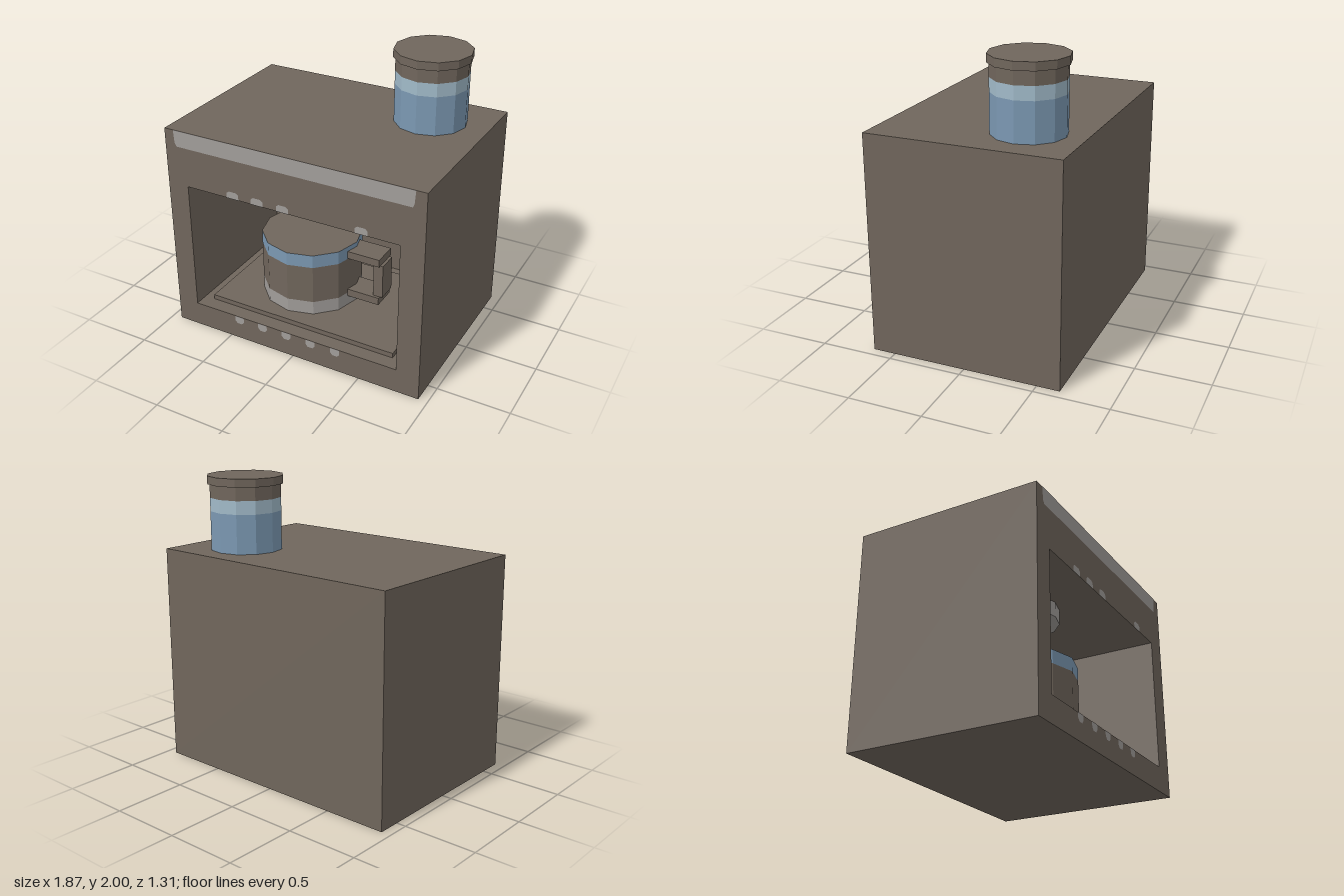
import * as THREE from 'three';
import { mergeGeometries } from 'three/addons/utils/BufferGeometryUtils.js';

function mat(name, color) {
  const m = new THREE.MeshStandardMaterial({ color, flatShading: true });
  m.name = name;
  return m;
}

export function createModel() {
  const brown = mat('brown', 0x70665c);
  const grey = mat('grey', 0xa19d9a);
  const blue = mat('blue', 0x7b98b2);
  const paleBlue = mat('pale blue', 0xa1bac9);

  const model = new THREE.Group();
  model.name = 'coffeeMachine';
  const add = (parent, name, geometry, material, x = 0, y = 0, z = 0) => {
    const mesh = new THREE.Mesh(geometry, material);
    mesh.name = name;
    mesh.position.set(x, y, z);
    parent.add(mesh);
    return mesh;
  };
  // Box given by its limits
  const box = (parent, name, material, [x0, x1], [y0, y1], [z0, z1]) =>
    add(parent, name, new THREE.BoxGeometry(x1 - x0, y1 - y0, z1 - z0), material,
      (x0 + x1) / 2, (y0 + y1) / 2, (z0 + z1) / 2);
  // Stack of twelve-sided bands: [name, radius, bottom, top, material, has end caps]
  const stack = (parent, bands) => bands.forEach(([name, r, y0, y1, material, capped]) =>
    add(parent, name, new THREE.CylinderGeometry(r, r, y1 - y0, 12, 1, !capped), material, 0, (y0 + y1) / 2, 0));
  const polygon = (points) => new THREE.Shape(points.map(([x, y]) => new THREE.Vector2(x, y)));

  // Housing: outer box and inward-facing niche, joined by a front face with a hole
  const W = 0.935, H = 1.5, D = 0.655;
  const L = -0.78, R = 0.772, B = 0.175, T = 1.105, back = -0.415;
  const openBox = (x0, x1, y0, y1, z0, z1, inward) => {
    const g = new THREE.BoxGeometry(x1 - x0, y1 - y0, z1 - z0);
    g.translate((x0 + x1) / 2, (y0 + y1) / 2, (z0 + z1) / 2);
    const index = Array.from(g.index.array).filter((_, i) => i < 24 || i >= 30); // no +z side
    g.setIndex(inward ? index.reverse() : index);
    g.clearGroups();
    g.computeVertexNormals();
    return g;
  };
  const face = polygon([[-W, 0], [W, 0], [W, H], [-W, H]]);
  face.holes.push(polygon([[L, B], [L, T], [R, T], [R, B]]));
  const front = new THREE.ShapeGeometry(face).translate(0, 0, D);
  add(model, 'housing', mergeGeometries([
    openBox(-W, W, 0, H, -D, D, false),
    openBox(L, R, B, T, back, D, true),
    front,
  ]), brown);

  // Painted front details
  const plate = (name, points, x = 0, y = 0) =>
    add(model, name, new THREE.ShapeGeometry(polygon(points)), grey, x, y, D + 0.002);
  plate('topStrip', [[-0.865, 1.5], [-0.86, 1.41], [-0.845, 1.385], [0.845, 1.385], [0.855, 1.41], [0.862, 1.5]]);
  for (const x of [-0.425, -0.24, -0.05, 0.51])
    plate('upperButton', [[-0.045, 0], [0.045, 0], [0.045, 0.035], [0.027, 0.05], [-0.027, 0.05], [-0.045, 0.035]], x, T);
  for (const x of [-0.425, -0.238, -0.05, 0.137, 0.325])
    plate('lowerButton', [[-0.035, 0], [-0.035, -0.035], [-0.018, -0.055], [0.018, -0.055], [0.035, -0.035], [0.035, 0]], x, B);

  // Drip tray and brewing nozzle
  box(model, 'dripTray', brown, [-0.705, 0.7], [B, 0.21], [-0.315, 0.555]);
  add(model, 'nozzle', new THREE.CylinderGeometry(0.235, 0.235, T - 1, 12), grey, -0.142, (T + 1) / 2, 0.12);

  // Mug with banded wall and square handle
  const mug = new THREE.Group();
  mug.name = 'mug';
  mug.position.set(-0.145, 0, 0.12);
  model.add(mug);
  stack(mug, [
    ['mugBase', 0.35, 0.211, 0.31, grey, false],
    ['mugWall', 0.35, 0.31, 0.585, brown, false],
    ['mugRim', 0.35, 0.585, 0.68, blue, false],
  ]);
  add(mug, 'mugTop', new THREE.CircleGeometry(0.35, 12).rotateX(-Math.PI / 2), brown, 0, 0.68, 0);
  for (const y of [0.285, 0.59])
    box(mug, 'handleArm', brown, [0.325, 0.565], [y, y + 0.055], [-0.09, 0.09]);
  box(mug, 'handleGrip', brown, [0.515, 0.585], [0.34, 0.59], [-0.07, 0.07]);

  // Bean jar with lid on top
  const jar = new THREE.Group();
  jar.name = 'beanJar';
  jar.position.set(0.535, 0, -0.283);
  model.add(jar);
  stack(jar, [
    ['jarGlass', 0.245, H, 1.765, blue, false],
    ['jarHighlight', 0.245, 1.765, 1.855, paleBlue, false],
    ['jarNeck', 0.245, 1.855, 1.945, brown, false],
    ['jarLid', 0.26, 1.945, 2, brown, true],
  ]);
  return model;
}
